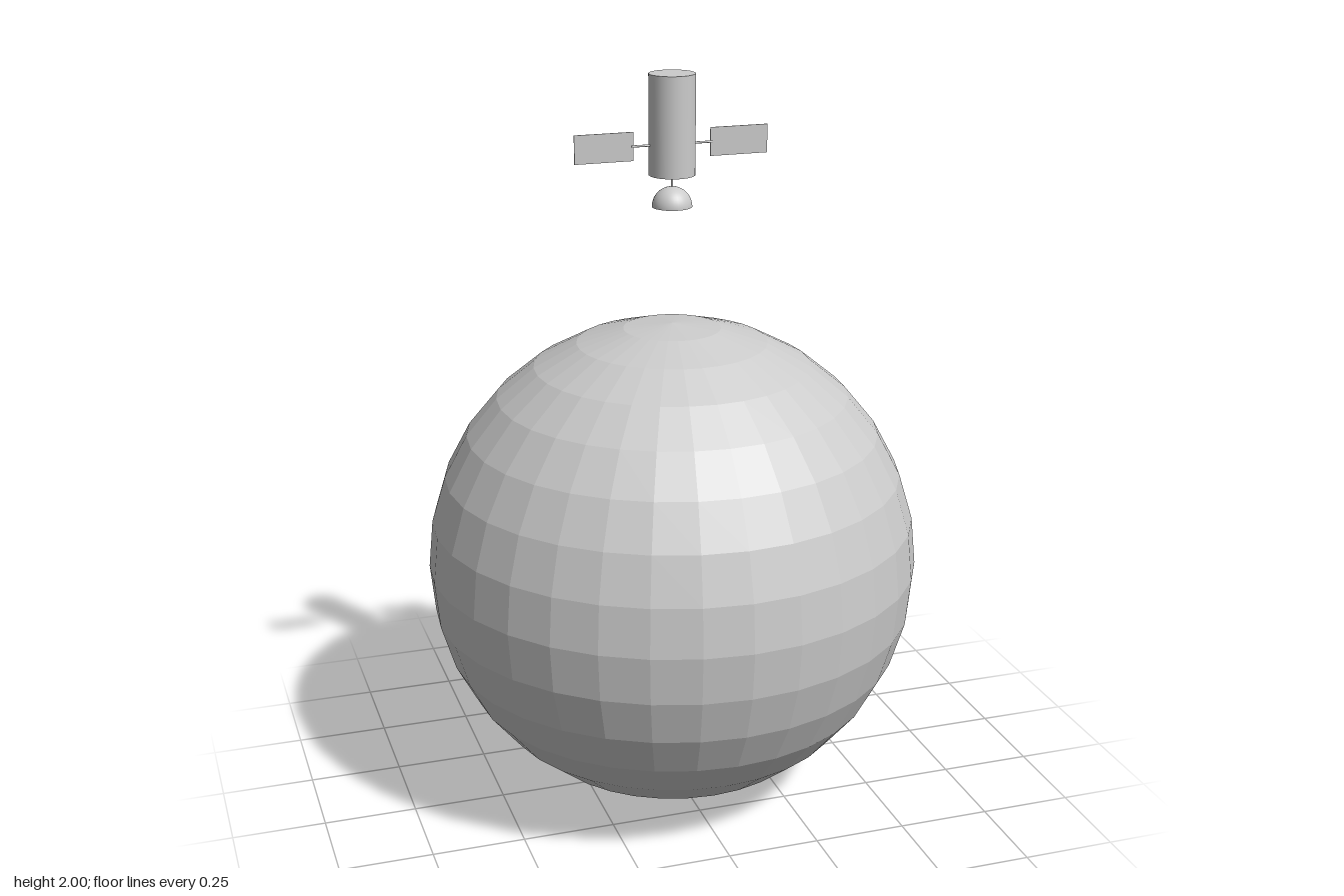
import * as THREE from 'three';

export function createModel() {
  const model = new THREE.Group();
  const smooth = new THREE.MeshStandardMaterial({ color: 0xcccccc });
  const faceted = new THREE.MeshStandardMaterial({ color: 0xcccccc, flatShading: true });
  const open = new THREE.MeshStandardMaterial({ color: 0xcccccc, side: THREE.DoubleSide });

  const add = (parent, name, geometry, material, x = 0, y = 0, z = 0) => {
    const mesh = new THREE.Mesh(geometry, material);
    mesh.name = name;
    mesh.position.set(x, y, z);
    parent.add(mesh);
    return mesh;
  };

  // Faceted globe
  add(model, 'planet', new THREE.SphereGeometry(0.669, 32, 16), faceted, 0, 0.67);

  // Satellite hovering above, turned very slightly about its axis
  const satellite = new THREE.Group();
  satellite.name = 'satellite';
  satellite.rotation.y = 0.014;
  model.add(satellite);

  add(satellite, 'body', new THREE.CylinderGeometry(0.061, 0.061, 0.262, 32), smooth, 0, 1.869);

  // Solar panels on short arms, mirrored left and right
  for (const [side, s] of [['left', 1], ['right', -1]]) {
    const arm = add(satellite, side + 'Arm',
      new THREE.CylinderGeometry(0.003, 0.003, 0.06, 12), smooth, s * 0.08, 1.818);
    arm.rotation.z = Math.PI / 2;
    add(satellite, side + 'Panel', new THREE.BoxGeometry(0.158, 0.075, 0.003), smooth, s * 0.184, 1.818);
  }

  // Open dish facing the globe, hung on a thin mast
  add(satellite, 'mast', new THREE.CylinderGeometry(0.003, 0.003, 0.045, 12), smooth, 0, 1.722);
  add(satellite, 'dish',
    new THREE.SphereGeometry(0.053, 32, 12, 0, Math.PI * 2, 0, Math.PI / 2), open, 0, 1.654);

  return model;
}
